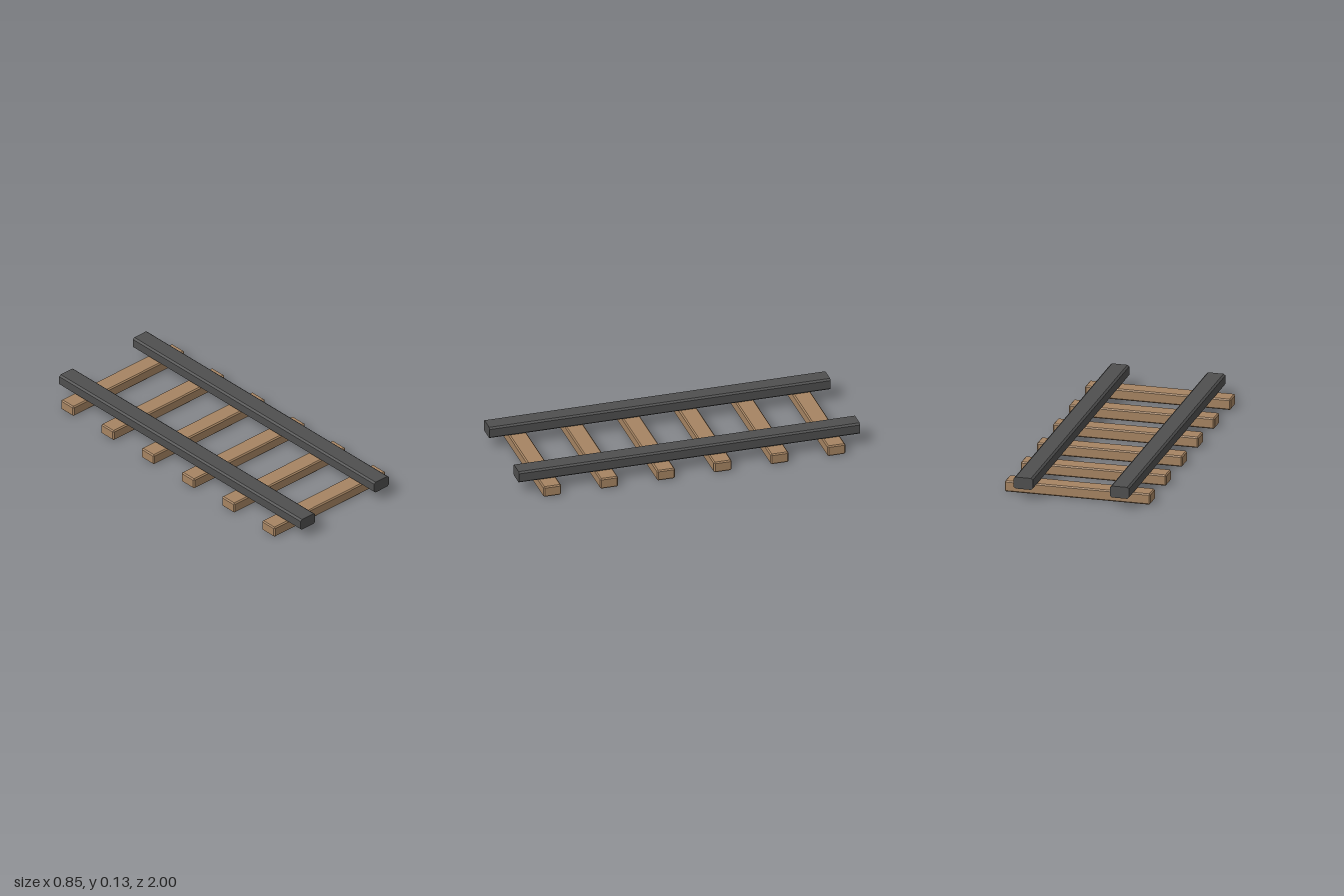
import * as THREE from 'three';
import { ConvexGeometry } from 'three/addons/geometries/ConvexGeometry.js';

const wood = new THREE.MeshStandardMaterial({ color: 0xa68462, flatShading: true });
const steel = new THREE.MeshStandardMaterial({ color: 0x4f4f4f, flatShading: true });

// Box with every edge and corner bevelled by b
function chamferBox(w, h, d, b) {
  const points = [];
  for (const x of [-w / 2, w / 2])
    for (const y of [-h / 2, h / 2])
      for (const z of [-d / 2, d / 2]) {
        const i = (v) => v - Math.sign(v) * b;
        points.push(
          new THREE.Vector3(x, i(y), i(z)),
          new THREE.Vector3(i(x), y, i(z)),
          new THREE.Vector3(i(x), i(y), z)
        );
      }
  return new ConvexGeometry(points);
}

// Bar along z with cut corners in section and square ends
function railBar(w, h, length, bx, by) {
  const x = w / 2, y = h / 2;
  const section = new THREE.Shape([
    [x - bx, -y], [x, -y + by], [x, y - by], [x - bx, y],
    [-x + bx, y], [-x, y - by], [-x, -y + by], [-x + bx, -y],
  ].map(([px, py]) => new THREE.Vector2(px, py)));
  return new THREE.ExtrudeGeometry(section, { depth: length, bevelEnabled: false })
    .translate(0, 0, -length / 2);
}

export function createModel() {
  const track = new THREE.Group();
  track.name = 'railwayTrack';

  // Six evenly spaced wooden sleepers
  const sleepers = new THREE.Group();
  sleepers.name = 'sleepers';
  const sleeperGeometry = chamferBox(0.848, 0.064, 0.105, 0.007);
  for (let i = 0; i < 6; i++) {
    const sleeper = new THREE.Mesh(sleeperGeometry, wood);
    sleeper.name = `sleeper${i + 1}`;
    sleeper.position.set(0, 0.032, -0.836 + i * 0.3333);
    sleepers.add(sleeper);
  }
  track.add(sleepers);

  // Two rails resting on the sleepers
  const railGeometry = railBar(0.111, 0.068, 2, 0.011, 0.009);
  for (const [name, x] of [['rightRail', -0.277], ['leftRail', 0.283]]) {
    const rail = new THREE.Mesh(railGeometry, steel);
    rail.name = name;
    rail.position.set(x, 0.099, 0);
    track.add(rail);
  }
  return track;
}
